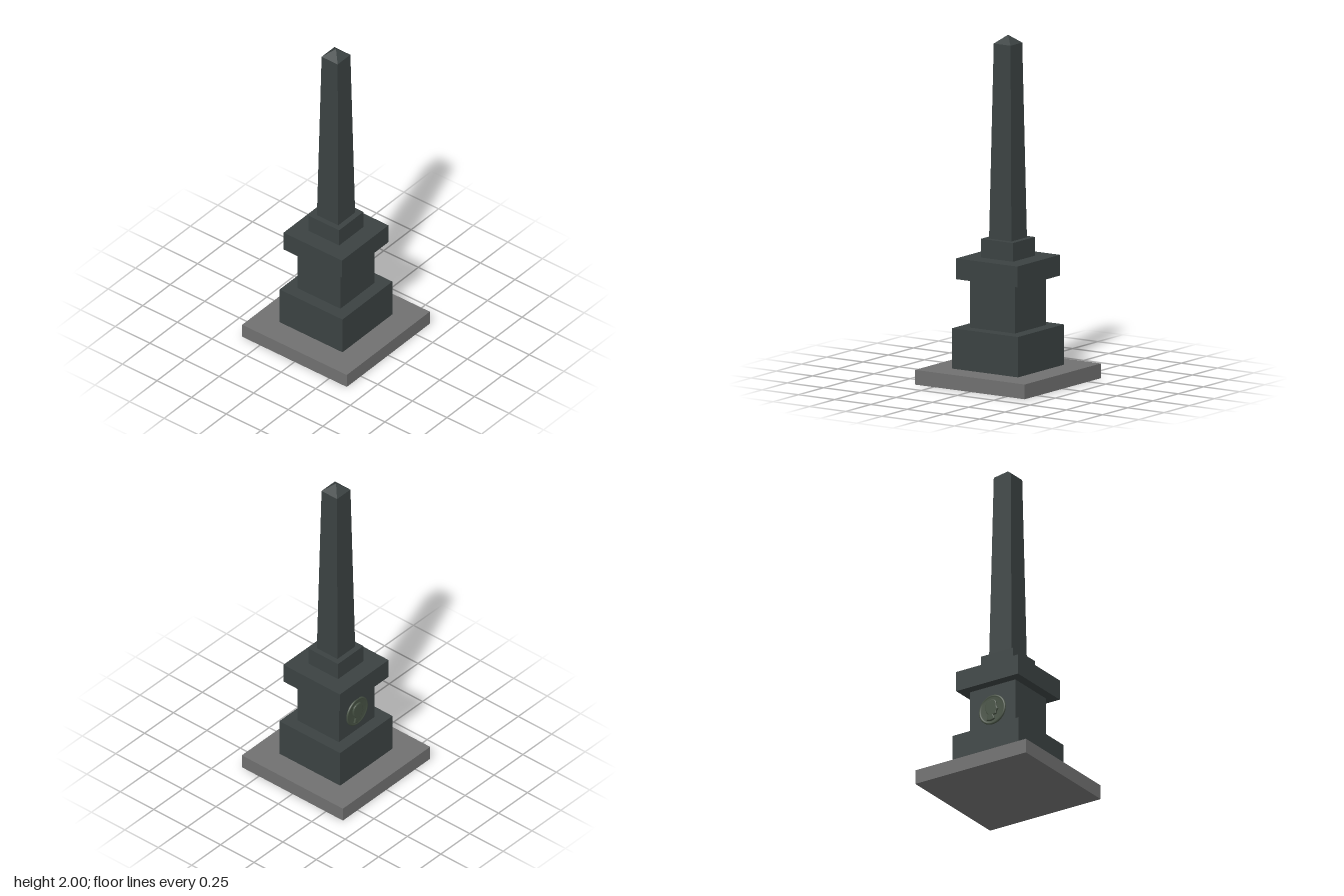
import * as THREE from 'three';

export function createModel() {
  const model = new THREE.Group();
  model.name = 'obelisk';

  const paving = new THREE.MeshStandardMaterial({ color: 0x707070, flatShading: true });
  paving.name = 'grey paving';
  const granite = new THREE.MeshStandardMaterial({ color: 0x3b4242, flatShading: true });
  granite.name = 'dark granite';
  const bronze = new THREE.MeshStandardMaterial({ color: 0x465143 });
  bronze.name = 'weathered bronze';

  const add = (parent, name, geometry, material) => {
    const mesh = new THREE.Mesh(geometry, material);
    mesh.name = name;
    parent.add(mesh);
    return mesh;
  };

  // Square block between two heights; its half width may taper
  const block = (name, y0, y1, half0, half1, material) => {
    const geometry = new THREE.CylinderGeometry(half1 * Math.SQRT2, half0 * Math.SQRT2, y1 - y0, 4);
    geometry.rotateY(Math.PI / 4);
    geometry.translate(0, (y0 + y1) / 2, 0);
    add(model, name, geometry, material);
  };

  // Stacked masonry, from the ground up
  block('baseSlab', 0, 0.085, 0.378, 0.378, paving);
  block('plinth', 0.085, 0.318, 0.227, 0.227, granite);
  block('pedestal', 0.318, 0.6, 0.155, 0.155, granite);
  block('cornice', 0.6, 0.72, 0.211, 0.211, granite);
  block('shaftFoot', 0.72, 0.828, 0.11, 0.11, granite);
  block('shaft', 0.828, 1.952, 0.077, 0.058, granite);
  block('tip', 1.952, 2, 0.058, 0, granite);

  // Portrait medallion on the back of the pedestal
  const medallion = new THREE.Group();
  medallion.name = 'medallion';
  medallion.position.set(0, 0.45, -0.155);
  medallion.rotation.y = Math.PI;
  model.add(medallion);

  // Dished disc with a raised rim
  const profile = [[0.09, 0], [0.09, 0.005], [0.086, 0.009], [0.08, 0.009], [0.075, 0.005], [0, 0.005]];
  const disc = new THREE.LatheGeometry(profile.map(([r, h]) => new THREE.Vector2(r, h)), 40);
  disc.rotateX(Math.PI / 2);
  add(medallion, 'medallionDisc', disc, bronze);

  // Head in profile, in low relief
  const head = new THREE.Shape();
  head.moveTo(-0.034, -0.062);
  head.quadraticCurveTo(-0.005, -0.076, 0.02, -0.06);
  head.lineTo(0.012, -0.036);
  head.lineTo(0.03, -0.034);
  head.lineTo(0.033, -0.016);
  head.lineTo(0.043, -0.006);
  head.lineTo(0.034, 0.014);
  head.quadraticCurveTo(0.038, 0.058, 0, 0.06);
  head.quadraticCurveTo(-0.044, 0.058, -0.042, 0.015);
  head.quadraticCurveTo(-0.04, -0.012, -0.024, -0.03);
  head.closePath();
  const relief = new THREE.ExtrudeGeometry(head, {
    depth: 0.006, bevelThickness: 0.004, bevelSize: 0.005, bevelOffset: -0.005,
    bevelSegments: 3, curveSegments: 8,
  });
  relief.translate(0, 0, 0.005);
  add(medallion, 'portraitRelief', relief, bronze);

  return model;
}
